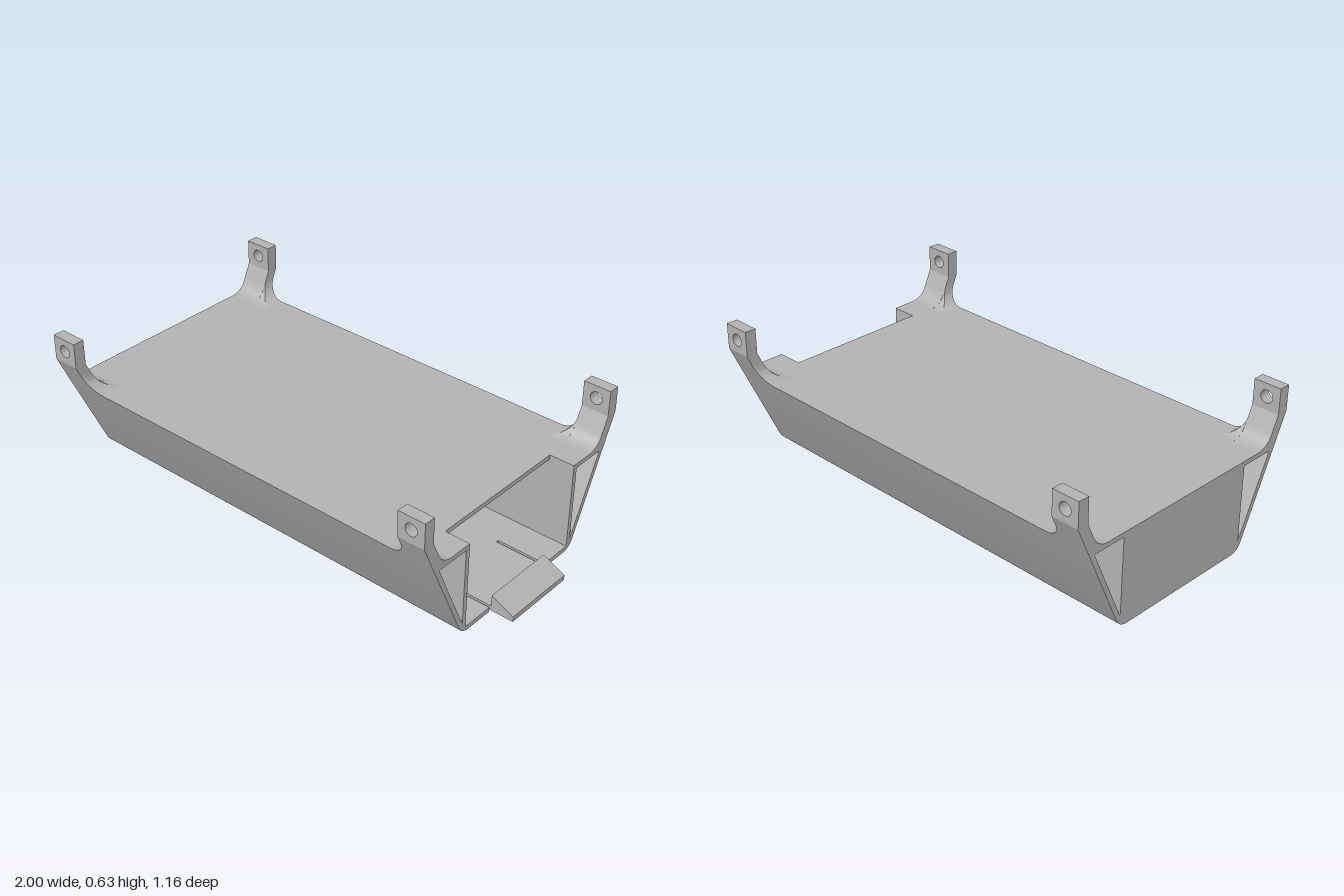
import * as THREE from 'three';
import { toCreasedNormals } from 'three/addons/utils/BufferGeometryUtils.js';

const MID = -0.05;   // centre of the tray body in x
const HALF = 0.95;   // half length of the body
const SLOPE = 0.458; // sideways lean of the outer walls

export function createModel() {
  const model = new THREE.Group();
  model.name = 'trayMount';
  const grey = new THREE.MeshStandardMaterial({ color: 0xb2b2b2 });
  grey.name = 'grey plastic';

  const add = (name, geometry) => {
    const mesh = new THREE.Mesh(geometry, grey);
    mesh.name = name;
    model.add(mesh);
    return mesh;
  };
  const box = (name, x0, x1, y0, y1, z0, z1) =>
    add(name, new THREE.BoxGeometry(x1 - x0, y1 - y0, z1 - z0)
      .translate((x0 + x1) / 2, (y0 + y1) / 2, (z0 + z1) / 2));

  // Hollow side walls: rounded bottom corner, leaning skin, triangular duct
  const side = new THREE.Shape();
  side.moveTo(0.302, 0);
  side.absarc(0.302, 0.0623, 0.0623, -Math.PI / 2, -0.429, false);
  side.lineTo(0.525, 0.4);
  side.lineTo(0.32, 0.4);
  side.lineTo(0.32, 0.02);
  side.lineTo(0.302, 0.02);
  side.closePath();
  const duct = new THREE.Path();
  duct.moveTo(0.34, 0.05);
  duct.lineTo(0.34, 0.38);
  duct.lineTo(0.492, 0.38);
  duct.lineTo(0.341, 0.05);
  duct.closePath();
  side.holes.push(duct);
  const sideGeometry = toCreasedNormals(
    new THREE.ExtrudeGeometry(side, { depth: 2 * HALF, bevelEnabled: false, curveSegments: 10 })
      .rotateY(-Math.PI / 2).translate(HALF, 0, 0), 0.5);
  ['leftSide', 'rightSide'].forEach((name, i) => {
    const wall = add(name, sideGeometry);
    wall.position.x = MID;
    wall.rotation.y = i * Math.PI;
  });

  // Top plate stops short of the open end
  box('topPlate', -1, 0.79, 0.38, 0.4, -0.32, 0.32);
  box('endWall', -1, -0.98, 0.02, 0.38, -0.32, 0.32);

  // Floor, with two slits that free the spring latch
  box('floor', -1, 0.68, 0, 0.02, -0.302, 0.302);
  box('floorLeft', 0.68, 0.9, 0, 0.02, 0.175, 0.302);
  box('floorRight', 0.68, 0.9, 0, 0.02, -0.302, -0.175);
  box('latchTongue', 0.68, 0.9, 0, 0.02, -0.164, 0.164);
  const wedge = new THREE.Shape([[0.9, 0], [1, 0], [1, 0.023], [0.9, 0.07]]
    .map(([x, y]) => new THREE.Vector2(x, y)));
  add('latchWedge', new THREE.ExtrudeGeometry(wedge, { depth: 0.328, bevelEnabled: false })
    .translate(0, 0, -0.164));

  // Upright mounting ear with a screw hole
  const ear = new THREE.Shape([[-0.06, 0.52], [0.06, 0.52], [0.06, 0.63], [-0.06, 0.63]]
    .map(([x, y]) => new THREE.Vector2(x, y)));
  const screwHole = new THREE.Path();
  screwHole.absarc(0, 0.576, 0.027, 0, Math.PI * 2, true);
  ear.holes.push(screwHole);
  const earGeometry = toCreasedNormals(
    new THREE.ExtrudeGeometry(ear, { depth: 0.05, bevelEnabled: false, curveSegments: 16 })
      .translate(0, 0, -0.025), 0.5);

  for (const sx of [1, -1]) {
    for (const sz of [1, -1]) {
      const corner = (sx > 0 ? 'front' : 'rear') + (sz > 0 ? 'Left' : 'Right');
      add(corner + 'Ear', earGeometry).position.set(MID + sx * 0.89, 0, sz * 0.555);
      add(corner + 'Arm', armGeometry(sx, sz)).position.x = MID;
    }
  }
  return model;
}

// Inner surface of an arm: a fillet out of the plate, then a straight lean
function innerZ(y) {
  return y < 0.4455
    ? 0.4236 + Math.sqrt(Math.max(0, 0.0064 - (0.48 - y) ** 2))
    : 0.53 - (0.52 - y) * SLOPE;
}

// Arm lofted along x: full height under the ear, then swept down in an arc
function armGeometry(sx, sz) {
  const slices = [[0, 0.52], [0.12, 0.52]];
  for (let i = 0; i <= 10; i++) {
    const a = i / 10 * Math.PI / 2;
    slices.push([0.12 + 0.08 * (1 - Math.cos(a)), 0.48 - 0.08 * Math.sin(a)]);
  }
  const n = 14, ring = n + 3;
  const positions = [], index = [];
  const triangle = (a, b, c) => (sx * sz > 0 ? index.push(a, b, c) : index.push(a, c, b));
  slices.forEach(([u, h], s) => {
    const point = (y, z) => positions.push(sx * (HALF - u), y, sz * z);
    for (let j = 0; j <= n; j++) {
      const y = 0.4 + (h - 0.4) * (j / n) ** 2;
      point(y, innerZ(y));
    }
    point(h, 0.525 + (h - 0.4) * SLOPE);
    point(0.4, 0.525);
    if (s === 0) return;
    for (let j = 0; j < ring - 1; j++) {
      const a = (s - 1) * ring + j, b = s * ring + j;
      triangle(a, b, a + 1);
      triangle(a + 1, b, b + 1);
    }
  });
  // End cap
  for (let j = 0; j < ring - 2; j++) triangle(ring - 1, j, j + 1);
  const geometry = new THREE.BufferGeometry();
  geometry.setAttribute('position', new THREE.Float32BufferAttribute(positions, 3));
  geometry.setIndex(index);
  return toCreasedNormals(geometry, 0.5);
}
